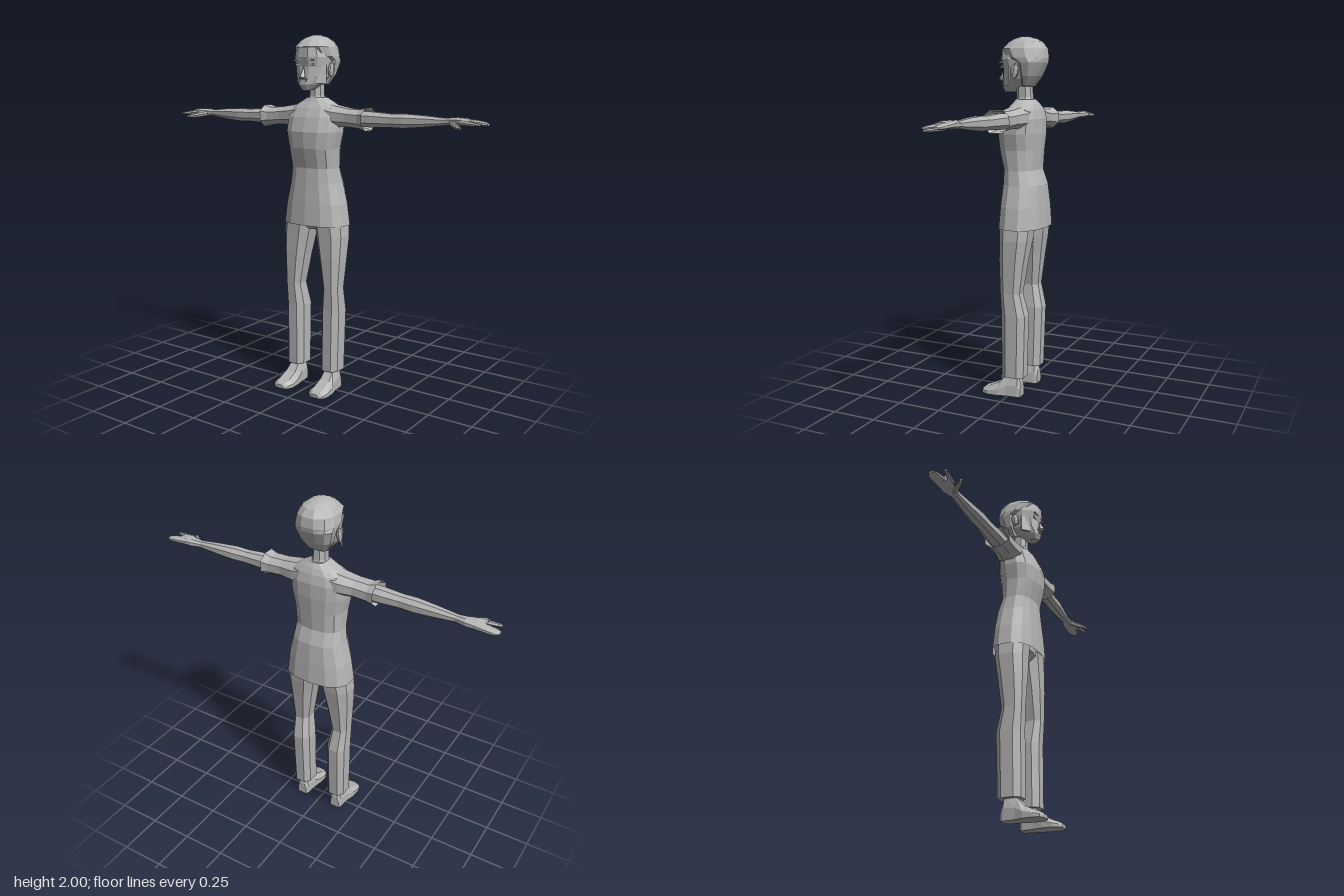
import * as THREE from 'three';

const grey = new THREE.MeshStandardMaterial({ color: 0xb6b6b6, flatShading: true, side: THREE.DoubleSide });
grey.name = 'plain grey';

// Skin a list of rings, each a list of points, with optional end caps.
function skin(rings, capStart = true, capEnd = true) {
  const n = rings[0].length, pos = rings.flat(2), idx = [];
  for (let r = 0; r < rings.length - 1; r++) for (let j = 0; j < n; j++) {
    const a = r * n + j, b = r * n + (j + 1) % n;
    idx.push(a, a + n, b, b, a + n, b + n);
  }
  const cap = (r, flip) => {
    const c = pos.length / 3;
    for (let k = 0; k < 3; k++) pos.push(rings[r].reduce((s, p) => s + p[k], 0) / n);
    for (let j = 0; j < n; j++) {
      const a = r * n + j, b = r * n + (j + 1) % n;
      if (flip) idx.push(c, b, a); else idx.push(c, a, b);
    }
  };
  if (capStart) cap(0, false);
  if (capEnd) cap(rings.length - 1, true);
  const g = new THREE.BufferGeometry();
  g.setAttribute('position', new THREE.Float32BufferAttribute(pos, 3));
  g.setIndex(idx);
  g.computeVertexNormals();
  return g;
}

const squash = (v, p) => Math.sign(v) * Math.abs(v) ** p;
function around(n, p, fn) {
  return Array.from({ length: n }, (_, j) => {
    const a = (j + 0.5) / n * Math.PI * 2;
    return fn(squash(Math.cos(a), p), squash(Math.sin(a), p));
  });
}

// Upright form; rows are [y, x min, x max, z front, z back].
function upright(rows, n, p = 0.85, c0 = true, c1 = true) {
  return skin(rows.map(([y, x0, x1, zf, zb]) => around(n, p, (c, s) =>
    [(x0 + x1) / 2 + c * (x1 - x0) / 2, y, (zf + zb) / 2 + s * (zf - zb) / 2])), c0, c1);
}
const centred = rows => rows.map(([y, w, zf, zb]) => [y, -w, w, zf, zb]);

// Sideways form; rows are [x, y centre, z centre, y radius, z radius].
function sideways(rows, n, p = 0.9, c0 = true, c1 = true) {
  return skin(rows.map(([x, cy, cz, ry, rz]) => around(n, p, (c, s) =>
    [x, cy + c * ry, cz - s * rz])), c0, c1);
}

function add(parent, name, geometry) {
  const m = new THREE.Mesh(geometry, grey);
  m.name = name;
  parent.add(m);
  return m;
}

function makeHead() {
  const head = new THREE.Group();
  head.name = 'head';
  add(head, 'face', upright(centred([
    [1.705, 0.025, 0.085, 0.02], [1.735, 0.055, 0.098, -0.04], [1.775, 0.082, 0.092, -0.09],
    [1.83, 0.095, 0.088, -0.12], [1.88, 0.1, 0.1, -0.13], [1.93, 0.085, 0.098, -0.12], [1.96, 0.06, 0.06, -0.1],
  ]), 12));
  add(head, 'hair', upright(centred([
    [1.735, 0.06, -0.03, -0.085], [1.79, 0.092, -0.02, -0.125], [1.86, 0.112, 0, -0.16],
    [1.885, 0.114, 0.06, -0.165], [1.935, 0.105, 0.096, -0.16], [1.97, 0.08, 0.06, -0.135],
    [1.99, 0.05, 0.025, -0.1], [2, 0.02, -0.01, -0.06],
  ]), 12));
  // Nose
  const nose = add(head, 'nose', new THREE.ConeGeometry(0.02, 0.065, 4));
  nose.position.set(0, 1.803, 0.098);
  nose.rotation.x = -0.25;
  // Lips
  for (const [y, w] of [[1.764, 0.05], [1.752, 0.036]]) {
    add(head, 'lip', new THREE.BoxGeometry(w, 0.008, 0.009)).position.set(0, y, 0.094);
  }
  for (const s of [-1, 1]) {
    // Eyes and brows
    add(head, 'eye', new THREE.BoxGeometry(0.036, 0.014, 0.008)).position.set(s * 0.04, 1.84, 0.083);
    const brow = add(head, 'brow', new THREE.BoxGeometry(0.044, 0.008, 0.009));
    brow.position.set(s * 0.042, 1.866, 0.09);
    brow.rotation.z = -s * 0.15;
    // Ears
    const ear = add(head, 'ear', new THREE.SphereGeometry(1, 6, 5));
    ear.scale.set(0.014, 0.042, 0.025);
    ear.position.set(s * 0.104, 1.815, -0.02);
    ear.rotation.x = -0.2;
    // Loose lock of hair beside each cheek
    const lock = add(head, 'sideLock', new THREE.BoxGeometry(0.058, 0.1, 0.008));
    lock.position.set(s * 0.077, 1.79, 0.037);
    lock.rotation.y = s * 0.85;
  }
  return head;
}

// Left limbs, built on +x.
function makeLimbs() {
  const side = new THREE.Group();
  add(side, 'sleeve', sideways([
    [0.06, 1.575, -0.035, 0.068, 0.085], [0.14, 1.565, -0.035, 0.06, 0.08],
    [0.22, 1.56, -0.03, 0.052, 0.068], [0.3, 1.555, -0.027, 0.054, 0.07], [0.34, 1.555, -0.024, 0.066, 0.08],
  ], 8, 0.9, false, false));
  add(side, 'arm', sideways([
    [0.2, 1.555, -0.033, 0.044, 0.052], [0.36, 1.555, -0.035, 0.044, 0.048], [0.47, 1.553, -0.035, 0.038, 0.04],
    [0.55, 1.553, -0.037, 0.04, 0.042], [0.66, 1.555, -0.043, 0.032, 0.034], [0.79, 1.557, -0.048, 0.018, 0.024],
  ], 8));
  // Hand: palm, joined fingers, first finger and thumb
  add(side, 'palm', sideways([
    [0.77, 1.557, -0.048, 0.018, 0.024], [0.83, 1.56, -0.055, 0.022, 0.036],
    [0.88, 1.56, -0.045, 0.02, 0.048], [0.92, 1.558, -0.042, 0.016, 0.045],
  ], 8));
  add(side, 'fingers', sideways([
    [0.87, 1.56, -0.06, 0.018, 0.033], [0.94, 1.556, -0.064, 0.014, 0.031],
    [0.98, 1.552, -0.064, 0.011, 0.027], [1, 1.55, -0.062, 0.006, 0.016],
  ], 8));
  add(side, 'firstFinger', sideways([
    [0.87, 1.558, -0.015, 0.014, 0.016], [0.94, 1.553, 0, 0.011, 0.013], [0.985, 1.55, 0.01, 0.007, 0.009],
  ], 6));
  add(side, 'thumb', sideways([
    [0.81, 1.553, -0.035, 0.015, 0.018], [0.85, 1.543, 0.005, 0.014, 0.02],
    [0.88, 1.537, 0.036, 0.011, 0.016], [0.905, 1.533, 0.054, 0.007, 0.009],
  ], 6));
  add(side, 'trouserLeg', upright([
    [0.115, 0.06, 0.176, 0.046, -0.095], [0.47, 0.06, 0.182, 0.044, -0.106], [0.6, 0.078, 0.18, 0.05, -0.075],
    [0.78, 0.046, 0.192, 0.056, -0.1], [0.9, 0.022, 0.198, 0.056, -0.12], [1, 0.005, 0.188, 0.058, -0.13],
  ], 8, 0.75, true, false));
  // Shoe: cross-sections from heel to toe, [z, x min, x max, top]
  const shoe = [
    [-0.072, 0.09, 0.148, 0.075], [-0.055, 0.082, 0.155, 0.13], [0.012, 0.076, 0.162, 0.12],
    [0.06, 0.066, 0.176, 0.07], [0.12, 0.062, 0.18, 0.042], [0.152, 0.075, 0.172, 0.03], [0.166, 0.095, 0.148, 0.02],
  ];
  add(side, 'shoe', skin(shoe.map(([z, a, b, h]) => [
    [a, 0, z], [a, h * 0.5, z], [a + (b - a) * 0.22, h, z], [b - (b - a) * 0.22, h, z], [b, h * 0.5, z], [b, 0, z],
  ].reverse())));
  return side;
}

export function createModel() {
  const model = new THREE.Group();
  model.name = 'figure';
  // Long shirt, open at the hem
  add(model, 'shirt', upright(centred([
    [0.96, 0.199, 0.09, -0.166], [1.08, 0.182, 0.083, -0.16], [1.2, 0.152, 0.074, -0.15],
    [1.28, 0.141, 0.068, -0.122], [1.39, 0.146, 0.096, -0.13], [1.48, 0.166, 0.1, -0.137],
    [1.56, 0.168, 0.076, -0.136], [1.61, 0.15, 0.05, -0.124], [1.64, 0.1, 0.028, -0.11], [1.665, 0.05, 0.016, -0.092],
  ]), 14, 0.8, false, true));
  add(model, 'hips', upright(centred([
    [0.93, 0.05, 0.02, -0.08], [0.97, 0.14, 0.05, -0.12], [1.06, 0.165, 0.055, -0.13],
  ]), 10));
  add(model, 'neck', upright(centred([
    [1.63, 0.055, 0.018, -0.095], [1.675, 0.04, 0.012, -0.08], [1.76, 0.04, 0.012, -0.075],
  ]), 8));
  model.add(makeHead());
  for (const [name, s] of [['leftLimbs', 1], ['rightLimbs', -1]]) {
    const limbs = makeLimbs();
    limbs.name = name;
    limbs.scale.x = s;
    model.add(limbs);
  }
  return model;
}
